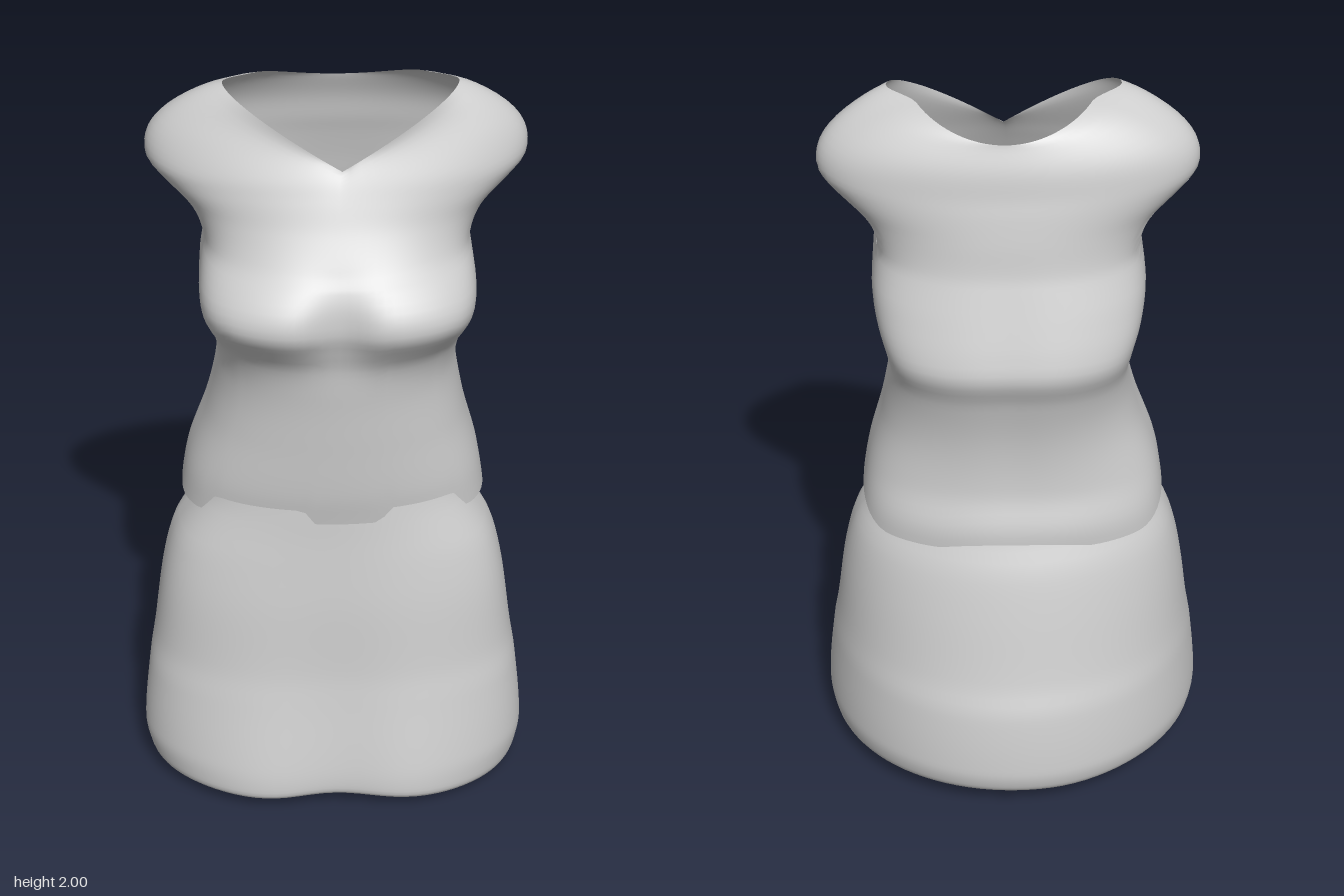
import * as THREE from 'three';

const SEG = 96;
const { lerp, clamp, smoothstep: step } = THREE.MathUtils;
const bump = (v, centre, width) => Math.exp(-(((v - centre) / width) ** 2));

// Cross-section rows: [y, half width, front z, back z, z of widest point]
const TOP_ROWS = [
  [0.76, 0.41, 0.30, -0.26, 0.03],
  [0.85, 0.4, 0.305, -0.262, 0.03],
  [0.95, 0.382, 0.32, -0.235, 0.03],
  [1.1, 0.335, 0.33, -0.235, 0.03],
  [1.25, 0.308, 0.34, -0.265, 0.02],
  [1.34, 0.318, 0.355, -0.298, 0.01],
  [1.4, 0.335, 0.39, -0.285, 0.02],
  [1.45, 0.345, 0.42, -0.268, 0.03],
  [1.5, 0.348, 0.415, -0.25, 0.03],
  [1.55, 0.342, 0.385, -0.232, 0.03],
  [1.6, 0.335, 0.34, -0.215, 0.02],
  [1.68, 0.37, 0.285, -0.2, 0.02],
  [1.75, 0.44, 0.25, -0.185, 0.02],
  [1.79, 0.475, 0.232, -0.175, 0.02],
  [1.85, 0.48, 0.2, -0.165, 0.02],
  [1.9, 0.455, 0.17, -0.145, 0.025],
  [1.95, 0.4, 0.14, -0.12, 0.035],
  [1.98, 0.35, 0.115, -0.07, 0.04],
  [2.0, 0.3, 0.09, -0.01, 0.05],
];
const SKIRT_ROWS = [
  [0.0, 0.48, 0.4, -0.365, 0.09],
  [0.02, 0.498, 0.428, -0.385, 0.1],
  [0.05, 0.51, 0.432, -0.4, 0.1],
  [0.12, 0.52, 0.42, -0.408, 0.1],
  [0.31, 0.502, 0.372, -0.385, 0.08],
  [0.4, 0.487, 0.352, -0.355, 0.06],
  [0.6, 0.458, 0.325, -0.305, 0.04],
  [0.72, 0.425, 0.306, -0.27, 0.03],
  [0.8, 0.375, 0.294, -0.235, 0.03],
  [0.86, 0.335, 0.287, -0.215, 0.03],
  [0.92, 0.31, 0.28, -0.2, 0.03],
];

// Smooth (Hermite) lookup of a cross-section at height y
function sectionAt(rows, y) {
  let i = 0;
  while (i < rows.length - 2 && y > rows[i + 1][0]) i++;
  const a = rows[i], b = rows[i + 1];
  const p = rows[Math.max(i - 1, 0)], n = rows[Math.min(i + 2, rows.length - 1)];
  const h = b[0] - a[0];
  const t = clamp((y - a[0]) / h, 0, 1);
  return a.map((v, k) => {
    const m0 = (b[k] - p[k]) / (b[0] - p[0]) * h;
    const m1 = (n[k] - v) / (n[0] - a[0]) * h;
    return (2 * t ** 3 - 3 * t ** 2 + 1) * v + (t ** 3 - 2 * t ** 2 + t) * m0
      + (3 * t ** 2 - 2 * t ** 3) * b[k] + (t ** 3 - t ** 2) * m1;
  });
}

// Point on a rounded section; theta 0 is the front, a quarter turn is +x
function onSection(rows, theta, y, frontPower, backPower) {
  const [, w, zf, zb, zc] = sectionAt(rows, y);
  const c = Math.cos(theta);
  const z = c > 0 ? zc + (zf - zc) * c ** frontPower : zc + (zb - zc) * (-c) ** backPower;
  return new THREE.Vector3(w * Math.sin(theta), y, z);
}

// Closed-around sheet of cloth; skip(j, theta) leaves a hole
function cloth(rowCount, point, skip = () => false) {
  const pos = [], index = [];
  for (let j = 0; j <= rowCount; j++) {
    for (let i = 0; i < SEG; i++) pos.push(...point(j, (i / SEG) * Math.PI * 2).toArray());
  }
  for (let j = 0; j < rowCount; j++) {
    for (let i = 0; i < SEG; i++) {
      if (skip(j + 0.5, ((i + 0.5) / SEG) * Math.PI * 2)) continue;
      const a = j * SEG + i, b = j * SEG + (i + 1) % SEG;
      index.push(a, b, b + SEG, a, b + SEG, a + SEG);
    }
  }
  const g = new THREE.BufferGeometry();
  g.setAttribute('position', new THREE.Float32BufferAttribute(pos, 3));
  g.setIndex(index);
  g.computeVertexNormals();
  return g;
}

// Lower edge of the top: notched in front, lower at the sides and back
function topHem(theta) {
  const s = Math.sin(theta), c = Math.cos(theta);
  if (c < 0) return 0.85 - 0.055 * step(-c, 0, 0.6) + 0.02 * step(-c, 0.85, 1);
  const notch = 0.045 * (1 - step(Math.abs(s - 0.08), 0.2, 0.3));
  return 0.91 - notch - 0.06 * step(Math.abs(s), 0.78, 0.88);
}

// Neck edge: V in front, scoop pinched in behind the shoulders
function neckPoint(theta) {
  const s = Math.sin(theta), c = Math.cos(theta), side = Math.abs(s);
  return new THREE.Vector3(
    0.29 * s * (c > 0 ? 1 : 1 - 0.2 * step(-c, 0, 0.4)) + 0.02,
    c > 0 ? 1.815 + 0.18 * side : 1.93 + 0.065 * side ** 2,
    c > 0 ? 0.06 + 0.14 * c : 0.06 - 0.195 * -c,
  );
}

const BODY = 34, YOKE = 28, SPLIT = 1.56;
function topHeight(j, theta) {
  return j <= BODY
    ? lerp(topHem(theta), SPLIT, j / BODY)
    : lerp(SPLIT, neckPoint(theta).y, (j - BODY) / YOKE);
}

// Armhole measured as an ellipse in (angle, height); inside is below 1
const ARM = { y: 1.688, w: 0.31, h: 0.09 };
function armOffset(theta, y) {
  const side = theta < Math.PI ? Math.PI / 2 + 0.05 : Math.PI * 1.5 - 0.05;
  const dt = (theta - side) / ARM.w, dy = (y - ARM.y) / ARM.h;
  return { side, dt, dy, r: Math.hypot(dt, dy) };
}

function topPoint(j, theta) {
  let y = topHeight(j, theta), angle = theta;
  // Snap nearby points onto the armhole edge
  const arm = armOffset(theta, y);
  if (arm.r < 1.18 && arm.r > 0.001) {
    angle = arm.side + arm.dt / arm.r * ARM.w;
    y = ARM.y + arm.dy / arm.r * ARM.h;
  }
  // Broad at the bust and shoulder blades, rounder at hips and shoulders
  const yoke = step(y, 1.5, 1.82);
  const front = lerp(0.72 - 0.34 * bump(y, 1.47, 0.14), 0.9, yoke);
  const back = lerp(0.65 - 0.22 * bump(y, 1.36, 0.16), 1, yoke);
  const p = onSection(TOP_ROWS, angle, y, front, back);
  if (Math.cos(angle) > 0) {
    // Dip between the bust
    p.z -= 0.045 * bump(y, 1.47, 0.1) * bump(p.x, 0, 0.08);
  } else {
    // Spine groove
    p.z += 0.008 * bump(p.x, 0, 0.08) * bump(y, 1.2, 0.4);
  }
  p.x += 0.01 * step(y, 0.9, 1.2);
  // Draw the last rows in to the neck edge
  const t = clamp((j - BODY) / YOKE, 0, 1);
  return p.lerp(neckPoint(theta), t ** 7);
}

const SKIRT = 44;
function skirtPoint(j, theta) {
  const t = (j / SKIRT) ** 1.4;
  const p = onSection(SKIRT_ROWS, theta, t * 0.92, lerp(1, 0.68, step(t, 0, 0.7)), 1);
  const c = Math.cos(theta);
  // Front sinks in between the legs
  p.z -= 0.055 * (1 - t) ** 1.5 * Math.max(c, 0) * bump(p.x, 0, 0.16);
  // Hem rises toward the back, and a little toward the right
  p.y += (1 - t) ** 6 * ((c > 0 ? 0.025 * c ** 4 : 0.055 * -c) + 0.02 * step(-p.x, 0.1, 0.45));
  return p;
}

export function createModel() {
  const fabric = new THREE.MeshStandardMaterial({ color: 0xcccccc, side: THREE.DoubleSide });
  fabric.name = 'pale grey fabric';
  const group = new THREE.Group();
  group.name = 'outfit';

  const top = new THREE.Mesh(
    cloth(BODY + YOKE, topPoint, (j, theta) => armOffset(theta, topHeight(j, theta)).r < 1), fabric);
  top.name = 'sleevelessTop';

  const skirt = new THREE.Mesh(cloth(SKIRT, skirtPoint), fabric);
  skirt.name = 'skirt';

  group.add(top, skirt);
  return group;
}
